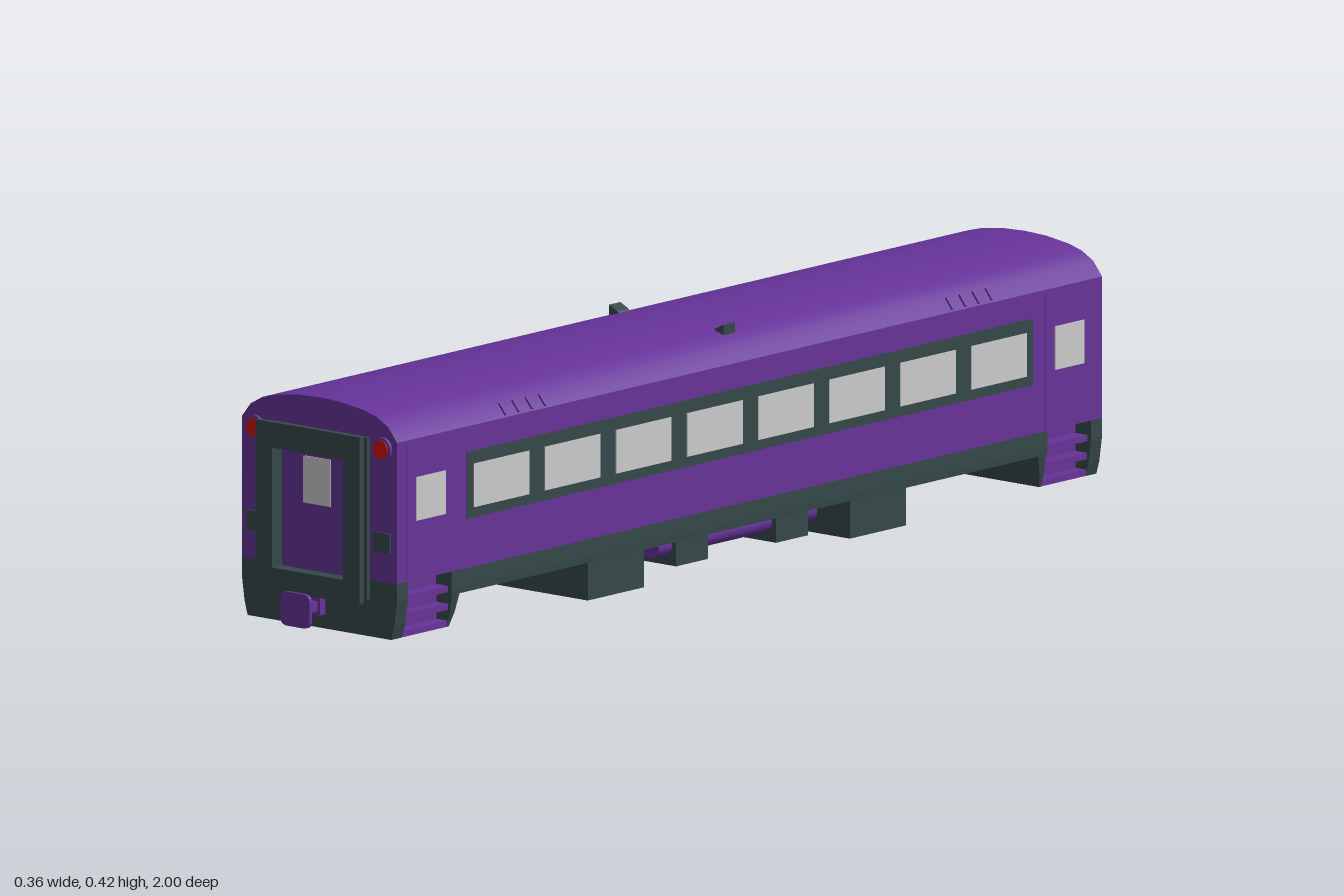
import * as THREE from 'three';
import { toCreasedNormals } from 'three/addons/utils/BufferGeometryUtils.js';

const material = (name, color) => {
  const m = new THREE.MeshStandardMaterial({ color });
  m.name = name;
  return m;
};

export function createModel() {
  const purple = material('purple paint', 0x663399);
  const slate = material('dark slate', 0x364848);
  const glass = material('pale glass', 0xcccccc);
  const red = material('red lamp', 0xd01010);
  const model = new THREE.Group();
  model.name = 'railway carriage';

  const add = (parent, name, geometry, mat, x = 0, y = 0, z = 0) => {
    const mesh = new THREE.Mesh(geometry, mat);
    mesh.name = name;
    mesh.position.set(x, y, z);
    parent.add(mesh);
    return mesh;
  };
  // Box given by its limits on each axis
  const box = (parent, name, mat, x0, x1, y0, y1, z0, z1) =>
    add(parent, name, new THREE.BoxGeometry(x1 - x0, y1 - y0, z1 - z0), mat,
      (x0 + x1) / 2, (y0 + y1) / 2, (z0 + z1) / 2);
  const polygon = (points) => new THREE.Shape(points.map(([x, y]) => new THREE.Vector2(x, y)));
  const rectangle = (w, y0, y1) => polygon([[-w, y0], [w, y0], [w, y1], [-w, y1]]);
  // Section drawn in x and y, extruded from z0 to z1
  const extrude = (shape, z0, z1) => {
    const g = new THREE.ExtrudeGeometry(shape, { depth: z1 - z0, bevelEnabled: false, curveSegments: 6 });
    return g.translate(0, 0, z0);
  };
  // Right half of a section, mirrored to the other side
  const mirrored = (half) => polygon([...half, ...half.filter(([x]) => x > 0).reverse().map(([x, y]) => [-x, y])]);

  // Upper body with arched roof
  const upper = mirrored([[0.177, 0.11], [0.177, 0.36], [0.157, 0.385], [0.13, 0.4], [0.1, 0.408], [0.05, 0.415], [0, 0.417]]);
  add(model, 'bodyAndRoof', toCreasedNormals(extrude(upper, -0.935, 0.935), 0.45), purple);

  // Lower sill between the end skirts
  const sill = mirrored([[0.176, 0.068], [0.177, 0.08], [0.177, 0.11]]);
  add(model, 'sill', extrude(sill, -0.79, 0.79), slate);

  // Window band and windows
  for (const s of [-1, 1]) {
    const side = new THREE.Group();
    side.name = s > 0 ? 'leftWindows' : 'rightWindows';
    model.add(side);
    const plate = (name, mat, z, y0, y1, length, lift) =>
      add(side, name, new THREE.BoxGeometry(0.004, y1 - y0, length), mat, s * (0.176 + lift), (y0 + y1) / 2, z);
    plate('windowBand', slate, 0, 0.197, 0.315, 1.5, 0);
    for (let i = 0; i < 8; i++) plate('window', glass, (i - 3.5) * 0.1885, 0.215, 0.292, 0.147, 0.0015);
    for (const e of [-1, 1]) {
      plate('sideDoor', purple, e * 0.847, 0.112, 0.352, 0.125, 0);
      plate('sideDoorWindow', glass, e * 0.847, 0.215, 0.292, 0.078, 0.0015);
      // Small ribs along the eaves
      for (let i = 0; i < 4; i++) {
        const rib = box(side, 'eaveRib', purple, -0.004, 0.004, -0.012, 0.012, -0.002, 0.002);
        rib.position.set(s * 0.167, 0.372, e * (0.54 + i * 0.035));
        rib.rotation.z = s * 0.67;
      }
    }
  }

  // Roof lugs
  const lug = polygon([[0.106, 0.4], [0.131, 0.398], [0.131, 0.418], [0.112, 0.409]]);
  for (const s of [-1, 1]) {
    const mesh = add(model, 'roofLug', extrude(lug, -0.015, 0.015), slate);
    if (s < 0) mesh.rotation.y = Math.PI;
  }

  // One carriage end, built facing +z and repeated at the back
  const makeEnd = (name) => {
    const end = new THREE.Group();
    end.name = name;
    model.add(end);

    // Tapered skirt, split around the step recess
    const skirt = mirrored([[0.164, 0.01], [0.171, 0.035], [0.177, 0.078], [0.177, 0.11]]);
    add(end, 'endSkirt', extrude(skirt, 0.906, 0.935), slate);
    const inner = extrude(skirt, 0.765, 0.788);
    const p = inner.attributes.position;
    for (let i = 0; i < p.count; i++) {
      if (p.getZ(i) < 0.77 && p.getY(i) < 0.07) p.setZ(i, 0.765 + (0.07 - p.getY(i)) * 0.3);
    }
    inner.computeVertexNormals();
    add(end, 'innerSkirt', inner, slate);
    box(end, 'skirtCore', slate, -0.138, 0.138, 0.01, 0.11, 0.786, 0.908);

    // Boarding steps
    for (const s of [-1, 1]) {
      add(end, 'stepBack', new THREE.BoxGeometry(0.004, 0.098, 0.118), purple, s * 0.139, 0.061, 0.847);
      [[0.016, 0.165], [0.046, 0.167], [0.078, 0.169]].forEach(([y, reach]) => {
        add(end, 'step', new THREE.BoxGeometry(reach - 0.136, 0.011, 0.118), purple, s * (reach + 0.136) / 2, y, 0.847);
      });
      // Tail lamp and vent
      const round = (label, r, depth, mat, z) => add(end, label,
        new THREE.CylinderGeometry(r, r, depth, 24).rotateX(Math.PI / 2), mat, s * 0.145, 0.345, z);
      round('lampRing', 0.0215, 0.008, purple, 0.937);
      round('lamp', 0.0165, 0.006, red, 0.94);
      box(end, 'vent', slate, s * 0.145 - 0.018, s * 0.145 + 0.018, 0.162, 0.197, 0.933, 0.939);
    }

    // Gangway frame with stepped bellows around a recessed door
    const ring = (w, y0, y1, z0, z1) => {
      const shape = rectangle(w, y0, y1);
      shape.holes.push(rectangle(0.081, 0.11, 0.322));
      add(end, 'gangwayFrame', extrude(shape, z0, z1), slate);
    };
    ring(0.115, 0.075, 0.362, 0.934, 0.943);
    ring(0.108, 0.082, 0.355, 0.943, 0.951);
    ring(0.115, 0.075, 0.362, 0.951, 0.957);
    ring(0.119, 0.071, 0.367, 0.957, 0.967);
    box(end, 'endDoor', purple, -0.081, 0.081, 0.11, 0.322, 0.934, 0.94);
    box(end, 'endDoorWindow', glass, -0.031, 0.031, 0.228, 0.311, 0.938, 0.942);

    // Coupler shank and rounded plate
    box(end, 'couplerShank', purple, -0.008, 0.008, 0.042, 0.06, 0.93, 0.994);
    box(end, 'couplerCollar', purple, -0.014, 0.014, 0.035, 0.067, 0.935, 0.95);
    const face = new THREE.Shape();
    const w = 0.033, b = 0.021, t = 0.081, r = 0.014;
    face.moveTo(-w + r, b).lineTo(w - r, b).quadraticCurveTo(w, b, w, b + r)
      .lineTo(w, t - r).quadraticCurveTo(w, t, w - r, t)
      .lineTo(-w + r, t).quadraticCurveTo(-w, t, -w, t - r)
      .lineTo(-w, b + r).quadraticCurveTo(-w, b, -w + r, b);
    add(end, 'couplerPlate', extrude(face, 0.993, 1), purple);
    return end;
  };
  makeEnd('frontEnd');
  makeEnd('backEnd').rotation.y = Math.PI;

  // Equipment below the floor
  const under = new THREE.Group();
  under.name = 'underfloorEquipment';
  model.add(under);
  for (const e of [-1, 1]) {
    const place = (name, mat, w, y, z0, z1) =>
      box(under, name, mat, -w, w, y, 0.075, Math.min(e * z0, e * z1), Math.max(e * z0, e * z1));
    place('largeCase', slate, 0.171, 0, 0.273, 0.422);
    place('smallCase', slate, 0.16, 0.02, 0.09, 0.175);
    add(under, 'airTank', new THREE.CylinderGeometry(0.021, 0.021, 0.42, 20).rotateX(Math.PI / 2), purple, e * 0.13, 0.056, 0);
  }
  box(under, 'centreCase', slate, -0.08, 0.08, 0.035, 0.075, -0.06, 0.06);

  return model;
}
